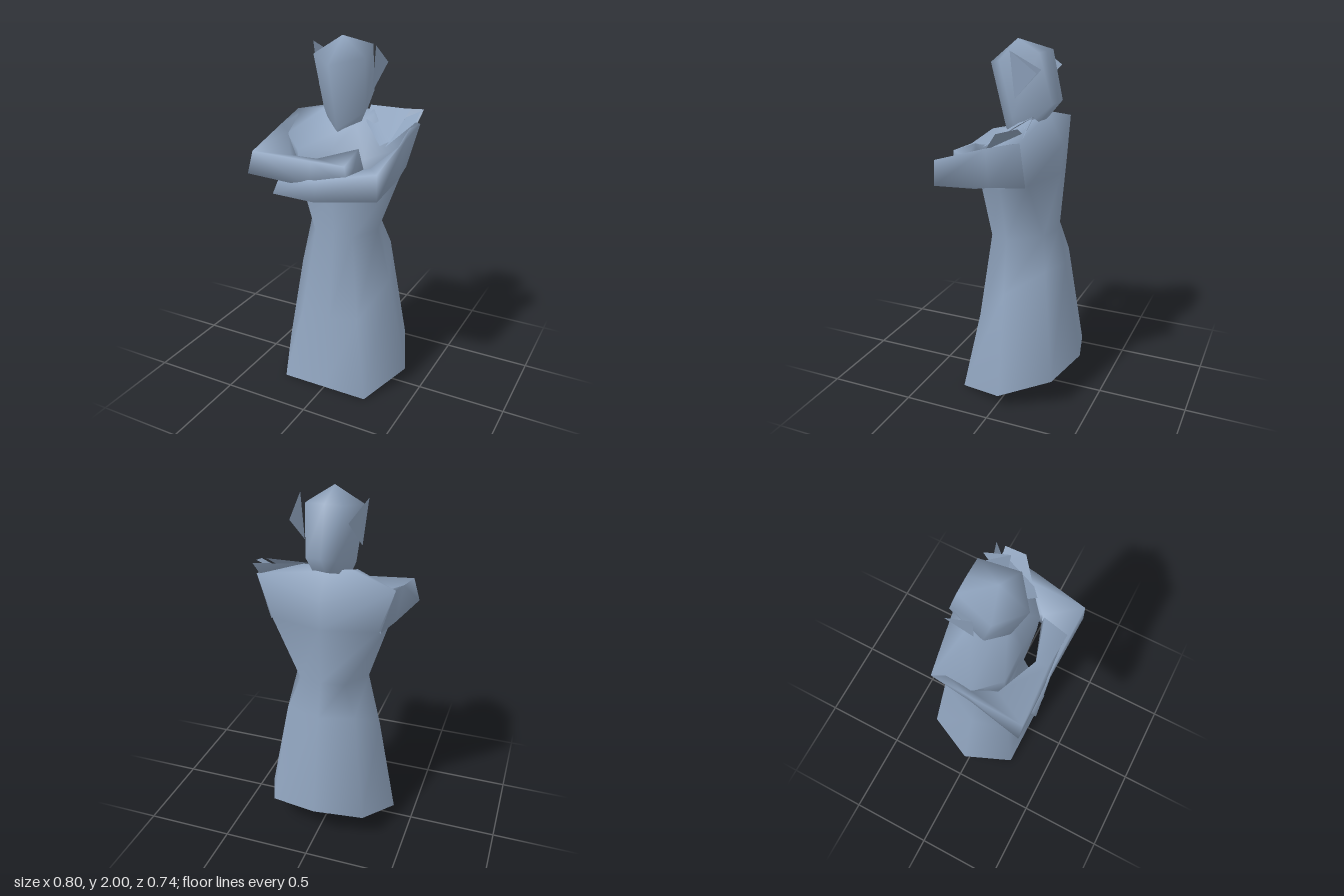
import * as THREE from 'three';

const cloth = new THREE.MeshStandardMaterial({ color: 0x8fa3bd, side: THREE.DoubleSide });
cloth.name = 'slate blue';

function surface(name, points, index) {
  const geo = new THREE.BufferGeometry();
  geo.setAttribute('position', new THREE.Float32BufferAttribute(points.flat(), 3));
  geo.setIndex(index);
  geo.computeVertexNormals();
  const mesh = new THREE.Mesh(geo, cloth);
  mesh.name = name;
  return mesh;
}

// Smooth surface through rings of equal point count, closed at the end by a fan to the tip
function loft(name, rings, tip) {
  const n = rings[0].length, index = [];
  for (let i = 0; i < rings.length - 1; i++)
    for (let j = 0; j < n; j++) {
      const a = i * n + j, b = i * n + (j + 1) % n;
      index.push(a, b, b + n, a, b + n, a + n);
    }
  const last = (rings.length - 1) * n;
  for (let j = 0; j < n; j++) index.push(last + j, last + (j + 1) % n, last + n);
  return surface(name, [...rings.flat(), tip], index);
}

const flip = ([x, y, z]) => [-x, y, z];

// Half ring from front centre round the left side to back centre, mirrored to a full ring
const ring = (half) => [...half, ...half.slice(1, -1).reverse().map(flip)];

export function createModel() {
  const model = new THREE.Group();
  model.name = 'robedFigure';

  // Robe: open slanted hem, narrow waist, shoulders sloping up to the neck
  model.add(loft('robe', [
    [[0, 0, 0.26], [0.26, 0, 0.26], [0.395, 0.08, -0.02], [0.275, 0.17, -0.295], [0, 0.205, -0.37]],
    [[0, 0.42, 0.19], [0.175, 0.45, 0.185], [0.285, 0.65, -0.01], [0.195, 0.79, -0.22], [0, 0.78, -0.27]],
    [[0, 0.93, 0.135], [0.115, 0.93, 0.13], [0.21, 0.95, 0], [0.13, 0.97, -0.185], [0, 0.98, -0.225]],
    [[0, 1.24, 0.155], [0.19, 1.24, 0.155], [0.31, 1.26, -0.01], [0.295, 1.3, -0.16], [0, 1.3, -0.232]],
    [[0, 1.42, 0.16], [0.2, 1.4, 0.16], [0.335, 1.445, 0.04], [0.378, 1.54, -0.15], [0, 1.46, -0.24]],
    [[0, 1.51, 0.07], [0.09, 1.54, 0.03], [0.15, 1.59, -0.05], [0.13, 1.605, -0.1], [0, 1.59, -0.13]],
  ].map(ring), [0, 1.56, -0.03]));

  // Folded arms: shoulder, upper arm, elbow, mid forearm, hand
  const shoulder = [[0.378, 1.54, -0.15], [0.305, 1.29, -0.15], [0.25, 1.29, -0.05], [0.33, 1.53, -0.13]];
  const upperArm = [[0.374, 1.495, 0.04], [0.34, 1.28, 0.04], [0.25, 1.26, 0.05], [0.335, 1.455, 0.04]];
  model.add(loft('rightArm', [
    shoulder.map(flip),
    upperArm.map(flip),
    [[-0.365, 1.42, 0.345], [-0.402, 1.29, 0.345], [-0.26, 1.26, 0.17], [-0.25, 1.36, 0.15]],
    [[-0.03, 1.405, 0.32], [-0.03, 1.27, 0.335], [-0.03, 1.28, 0.25], [-0.03, 1.4, 0.25]],
    [[0.17, 1.41, 0.33], [0.18, 1.31, 0.32], [0.205, 1.33, 0.17], [0.18, 1.465, 0.19]],
  ], [0.185, 1.38, 0.25]));
  model.add(loft('leftArm', [
    shoulder,
    upperArm,
    [[0.355, 1.4, 0.345], [0.36, 1.26, 0.35], [0.24, 1.23, 0.17], [0.235, 1.36, 0.16]],
    [[0, 1.31, 0.335], [0, 1.19, 0.335], [0, 1.2, 0.25], [0, 1.32, 0.25]],
    [[-0.22, 1.29, 0.32], [-0.235, 1.21, 0.365], [-0.25, 1.2, 0.25], [-0.25, 1.3, 0.2]],
  ], [-0.24, 1.25, 0.28]));

  // Head: neck, jaw, brow and crown
  model.add(loft('head', [
    [[0, 1.48, 0.06], [0.08, 1.5, 0], [0.07, 1.55, -0.1], [0, 1.55, -0.11]],
    [[0, 1.52, 0.09], [0.125, 1.61, 0], [0.08, 1.68, -0.205], [0, 1.68, -0.207]],
    [[0, 1.87, 0.177], [0.15, 1.9, 0.06], [0.1, 1.94, -0.14], [0, 1.94, -0.142]],
  ].map(ring), [0, 2, 0.02]));

  // Ears: two thin blades that share a front edge
  for (const [name, s] of [['leftEar', 1], ['rightEar', -1]]) {
    const x = (d) => s * d - 0.007;
    const top = [x(0.183), 1.955, -0.01], bottom = [x(0.157), 1.71, -0.025];
    const outer = [x(0.187), 1.85, -0.157], inner = [x(0.122), 1.86, -0.157];
    model.add(surface(name, [top, bottom, outer, top, inner, bottom], [0, 1, 2, 3, 4, 5]));
  }

  // Layered plates on the left shoulder
  const plates = [
    [[0.1, 1.62, -0.12], [0.13, 1.56, 0], [0.26, 1.47, 0.11], [0.3, 1.49, 0.07], [0.33, 1.62, -0.125]],
    [[0.14, 1.61, -0.12], [0.2, 1.58, -0.1], [0.36, 1.54, -0.15], [0.38, 1.61, -0.19]],
    [[0.3, 1.57, -0.13], [0.28, 1.46, 0.085], [0.4, 1.58, -0.03], [0.38, 1.61, -0.14]],
  ];
  const guard = new THREE.Group();
  guard.name = 'leftShoulderGuard';
  plates.forEach((p, i) => {
    const fan = p.slice(2).flatMap((_, j) => [0, j + 1, j + 2]);
    guard.add(surface('shoulderPlate' + (i + 1), p, fan));
  });
  model.add(guard);

  return model;
}
